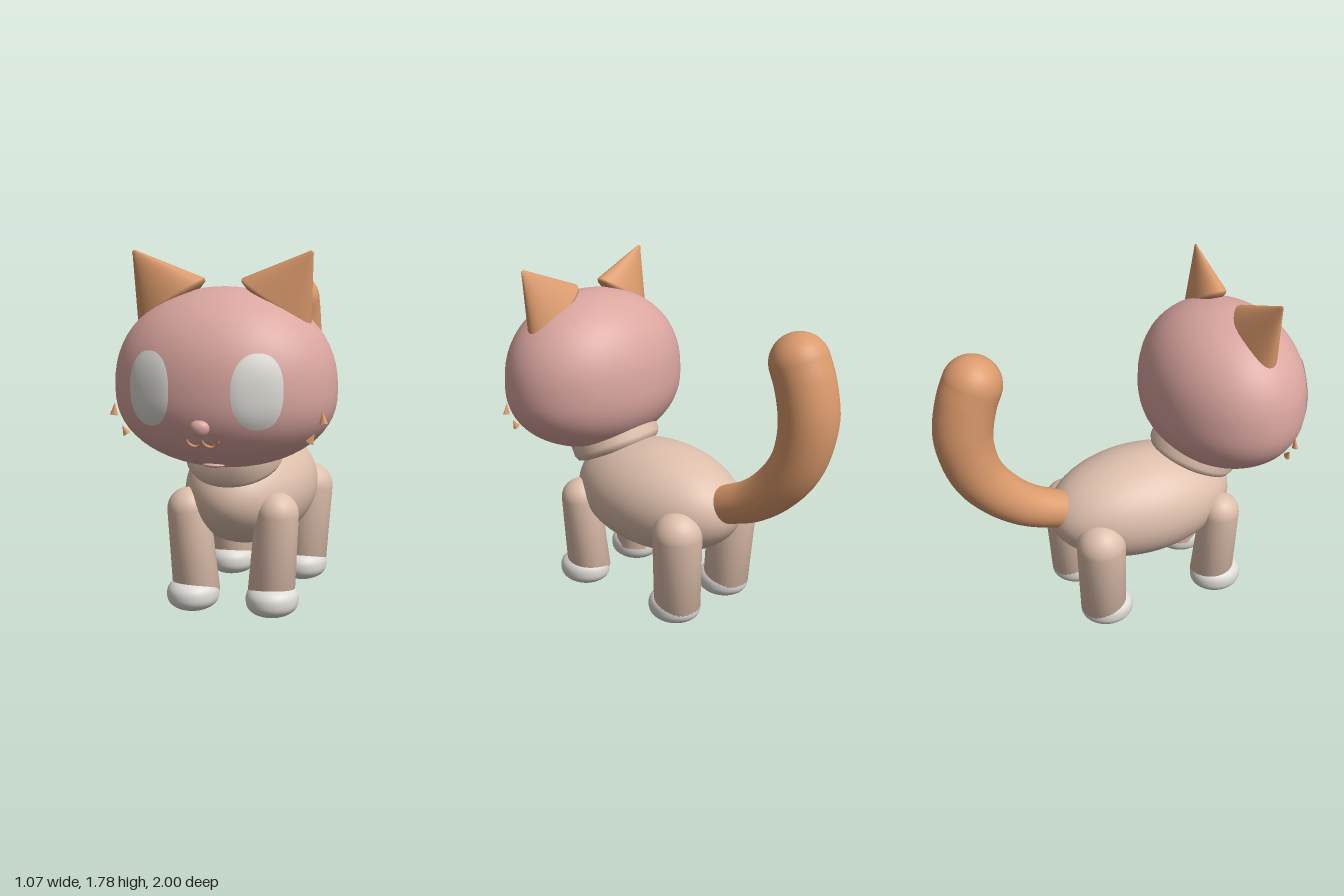
import * as THREE from 'three';
import { mergeVertices } from 'three/addons/utils/BufferGeometryUtils.js';

const V3 = (x, y, z) => new THREE.Vector3(x, y, z);
const V2 = (x, y) => new THREE.Vector2(x, y);

// head: centre, radii, separate upper and lower heights
const HEAD = { y: 1.14, z: 0.573, rx: 0.535, rz: 0.413, up: 0.475, down: 0.375, power: 2.3 };

// z of the head's front surface at (x, y)
function headZ(x, y) {
  const h = y - HEAD.y;
  const t = Math.abs(h) / (h > 0 ? HEAD.up : HEAD.down);
  return HEAD.z + HEAD.rz * Math.sqrt(Math.max(0, 1 - t ** HEAD.power - (x / HEAD.rx) ** 2));
}

// ellipsoid, flattened towards a box in y when power > 2
function blob(rx, up, down, rz, power = 2) {
  const g = new THREE.SphereGeometry(1, 48, 32);
  const p = g.attributes.position;
  for (let i = 0; i < p.count; i++) {
    const y = p.getY(i);
    const h = Math.abs(y) ** (2 / power);
    p.setXYZ(i, p.getX(i) * rx, y > 0 ? h * up : -h * down, p.getZ(i) * rz);
  }
  g.deleteAttribute('uv');
  g.deleteAttribute('normal');
  const merged = mergeVertices(g, 1e-5);
  merged.computeVertexNormals();
  return merged;
}

// tapered limb with a domed top, from point a to the dome centre b
function limb(a, b, ra, rb) {
  const dir = b.clone().sub(a);
  const len = dir.length();
  const pts = [V2(0, 0), V2(ra, 0)];
  for (let i = 0; i <= 12; i++) {
    const t = (i / 12) * Math.PI / 2;
    pts.push(V2(rb * Math.cos(t), len + rb * Math.sin(t)));
  }
  const g = new THREE.LatheGeometry(pts, 32);
  g.applyQuaternion(new THREE.Quaternion().setFromUnitVectors(V3(0, 1, 0), dir.normalize()));
  return g.translate(a.x, a.y, a.z);
}

// tube whose radius grows from r0 to r1 along the curve
function taperedTube(curve, r0, r1, segs = 48, sides = 32) {
  const g = new THREE.TubeGeometry(curve, segs, 1, sides);
  const p = g.attributes.position;
  const v = V3(0, 0, 0);
  for (let i = 0; i < p.count; i++) {
    const t = Math.floor(i / (sides + 1)) / segs;
    const c = curve.getPointAt(t);
    v.fromBufferAttribute(p, i).sub(c).multiplyScalar(r0 + (r1 - r0) * Math.min(1, t * 1.3)).add(c);
    p.setXYZ(i, v.x, v.y, v.z);
  }
  return g;
}

// thin eye plate that follows the head
function eyePlate(side) {
  const g = new THREE.RingGeometry(0.001, 1, 48, 10);
  const p = g.attributes.position;
  for (let i = 0; i < p.count; i++) {
    const r = Math.hypot(p.getX(i), p.getY(i));
    const a = Math.atan2(p.getY(i), p.getX(i));
    const bulge = (c) => Math.sign(c) * Math.abs(c) ** 0.88;
    const x = side * 0.252 + 0.109 * r * bulge(Math.cos(a));
    const y = 1.17 + 0.17 * r * bulge(Math.sin(a));
    p.setXYZ(i, x, y, headZ(x, y) + 0.003 + 0.006 * (1 - r ** 4));
  }
  g.computeVertexNormals();
  return g;
}

export function createModel() {
  const root = new THREE.Group();
  root.name = 'cat';
  const material = (name, color, extra = {}) =>
    Object.assign(new THREE.MeshStandardMaterial({ color, ...extra }), { name });
  const tan = material('tan fur', 0xdebfac);
  const pink = material('pink fur', 0xdba6a0);
  const orange = material('orange fur', 0xdb9a6c);
  const white = material('white', 0xdedbd6, { side: THREE.DoubleSide });

  const add = (name, geometry, mat, pos) => {
    const m = new THREE.Mesh(geometry, mat);
    m.name = name;
    if (pos) m.position.set(...pos);
    root.add(m);
    return m;
  };

  // body, neck and head
  add('body', blob(0.325, 0.288, 0.288, 0.518), tan, [0, 0.577, 0.098]);
  const neck = add('neck', new THREE.LatheGeometry(
    [V2(0, 0), V2(0.2, 0), V2(0.228, 0.012), V2(0.242, 0.04), V2(0.245, 0.28), V2(0, 0.28)], 40),
  tan, [0, 0.75, 0.395]);
  neck.rotation.x = 0.45;
  add('head', blob(HEAD.rx, HEAD.up, HEAD.down, HEAD.rz, HEAD.power), pink, [0, HEAD.y, HEAD.z]);

  // tail with a flat root and round tip
  const tailPath = new THREE.CatmullRomCurve3([
    V3(0, 0.642, -0.365), V3(0, 0.725, -0.55), V3(0, 0.86, -0.71),
    V3(0, 1.01, -0.81), V3(0, 1.22, -0.855), V3(0, 1.4, -0.825), V3(0, 1.49, -0.79)]);
  add('tail', taperedTube(tailPath, 0.1, 0.147), orange);
  add('tailTip', new THREE.SphereGeometry(0.147, 32, 24), orange, [0, 1.49, -0.79]);
  const root0 = add('tailRoot', new THREE.CircleGeometry(0.1, 32), orange, [0, 0.642, -0.365]);
  root0.quaternion.setFromUnitVectors(V3(0, 0, 1), tailPath.getTangentAt(0).negate());

  // nose and lower lip
  add('nose', blob(0.045, 0.035, 0.046, 0.034), pink, [0, 1.01, 0.966]);
  add('lip', blob(0.052, 0.012, 0.012, 0.03), pink, [0, 0.802, headZ(0, 0.802)]);

  for (const s of [1, -1]) {
    const label = s > 0 ? 'left' : 'right';

    // legs and paws
    add(label + 'FrontLeg', limb(V3(s * 0.192, 0.09, 0.455), V3(s * 0.226, 0.515, 0.47), 0.117, 0.106), tan);
    add(label + 'FrontPaw', blob(0.13, 0.085, 0.085, 0.142, 2.5), white, [s * 0.204, 0.087, 0.475]);
    add(label + 'BackLeg', limb(V3(s * 0.2, 0.09, -0.212), V3(s * 0.222, 0.508, -0.232), 0.122, 0.129), tan);
    add(label + 'BackPaw', blob(0.13, 0.085, 0.085, 0.142, 2.5), white, [s * 0.2, 0.087, -0.192]);

    // ear: flattened, leaning cone
    const ear = new THREE.LatheGeometry(
      [V2(0, -0.08), V2(0.8, -0.07), V2(0.96, -0.03), V2(1, 0.02), V2(0.09, 0.94), V2(0.06, 0.985), V2(0, 1)], 32);
    ear.applyMatrix4(new THREE.Matrix4().makeBasis(
      V3(0.165, -s * 0.1, 0), V3(s * 0.178, 0.23, 0.03), V3(0, 0, 0.083))
      .setPosition(s * 0.253, 1.55, 0.605));
    add(label + 'Ear', ear, orange);

    add(label + 'Eye', eyePlate(s), white);

    // half of the smile
    const smile = [];
    for (let i = 0; i <= 10; i++) {
      const a = Math.PI * (1 + i / 10);
      const x = s * (0.037 + 0.037 * Math.cos(a));
      const y = 0.95 + 0.036 * Math.sin(a);
      smile.push(V3(x, y, headZ(x, y) + 0.003));
    }
    add(label + 'Smile', new THREE.TubeGeometry(new THREE.CatmullRomCurve3(smile), 24, 0.007, 8), orange);

    // cheek tufts
    const tuft = (name, h, pos, tilt) => {
      const m = add(label + name, new THREE.ConeGeometry(0.02, h, 16), orange, pos);
      m.scale.z = 0.65;
      m.rotation.z = s * tilt;
    };
    tuft('UpperTuft', 0.06, [s * 0.505, 1.04, 0.725], 0.1);
    tuft('LowerTuft', 0.05, [s * 0.455, 0.942, 0.725], -0.5);
  }
  return root;
}
